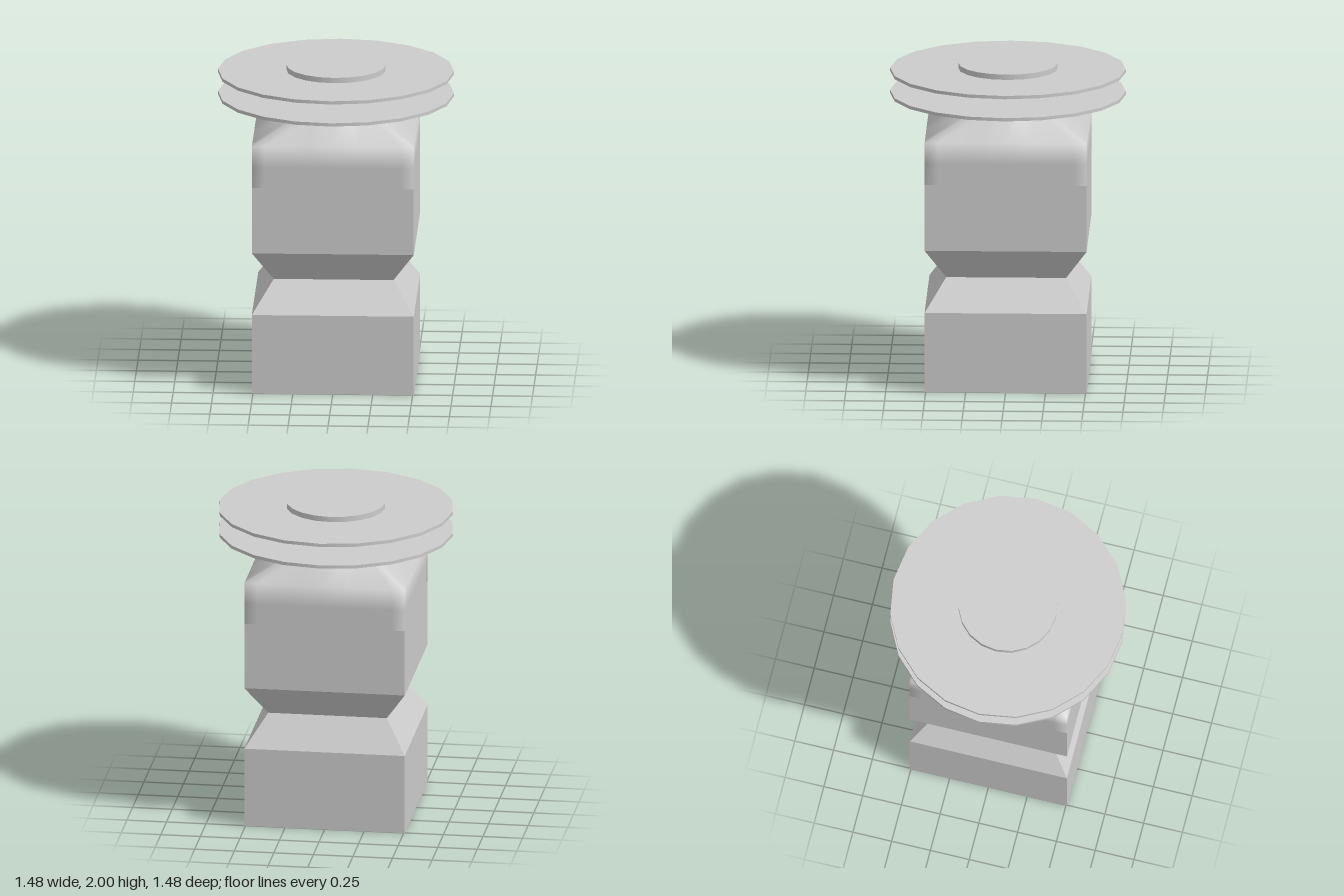
import * as THREE from 'three';

const HALF = 0.507; // half width of the square body
const NECK = 0.31;  // neck and cap radius

const smooth = new THREE.MeshStandardMaterial({ color: 0xcccccc });
const flat = new THREE.MeshStandardMaterial({ color: 0xcccccc, flatShading: true });

function add(group, name, geometry, material) {
  const mesh = new THREE.Mesh(geometry, material);
  mesh.name = name;
  group.add(mesh);
}

// 20-sided disc or post between two heights
function disc(group, name, radius, y0, y1) {
  const geometry = new THREE.CylinderGeometry(radius, radius, y1 - y0, 20);
  geometry.translate(0, (y0 + y1) / 2, 0);
  add(group, name, geometry, smooth);
}

// Square column with a pinched waist
function columnGeometry() {
  const profile = [[0, 0], [HALF, 0], [HALF, 0.51], [0.375, 0.71], [HALF, 0.91], [HALF, 1.335]];
  const points = profile.map(([half, y]) => new THREE.Vector2(half * Math.SQRT2, y));
  return new THREE.LatheGeometry(points, 4, Math.PI / 4);
}

// Shoulder blending from the square column to the round neck
function shoulderGeometry() {
  // per side: angle on the circle, and position along the square's edge
  const samples = [[-45, -1], [-36, -0.84], [-18, -0.31], [0, 0], [18, 0.31], [36, 0.84]];
  const rings = [[1.335, false], [1.47, false], [1.603, false], [1.735, true], [1.805, true]];
  const count = samples.length * 4;
  const positions = [];
  const index = [];
  for (const [y, round] of rings) {
    for (let side = 0; side < 4; side++) {
      for (const [degrees, along] of samples) {
        const a = THREE.MathUtils.degToRad(degrees);
        // the 45 degree point lies on the chord of the 20-sided circle
        const r = degrees === -45 ? NECK * Math.cos(Math.PI / 20) : NECK;
        const p = round
          ? new THREE.Vector3(r * Math.sin(a), y, r * Math.cos(a))
          : new THREE.Vector3(HALF * along, y, HALF);
        p.applyAxisAngle(THREE.Object3D.DEFAULT_UP, side * Math.PI / 2);
        positions.push(p.x, p.y, p.z);
      }
    }
  }
  for (let r = 0; r < rings.length - 1; r++) {
    for (let i = 0; i < count; i++) {
      const a = r * count + i;
      const b = r * count + (i + 1) % count;
      index.push(a, b, b + count, a, b + count, a + count);
    }
  }
  const geometry = new THREE.BufferGeometry();
  geometry.setAttribute('position', new THREE.Float32BufferAttribute(positions, 3));
  geometry.setIndex(index);
  geometry.computeVertexNormals();
  return geometry;
}

export function createModel() {
  const group = new THREE.Group();
  group.name = 'bollard';
  add(group, 'column', columnGeometry(), flat);
  add(group, 'shoulder', shoulderGeometry(), smooth);
  // Two wide plates around a spindle, closed by a small cap
  disc(group, 'lowerPlate', 0.738, 1.802, 1.823);
  disc(group, 'spindle', 0.188, 1.823, 1.945);
  disc(group, 'upperPlate', 0.738, 1.945, 1.966);
  disc(group, 'cap', NECK, 1.966, 2);
  return group;
}
